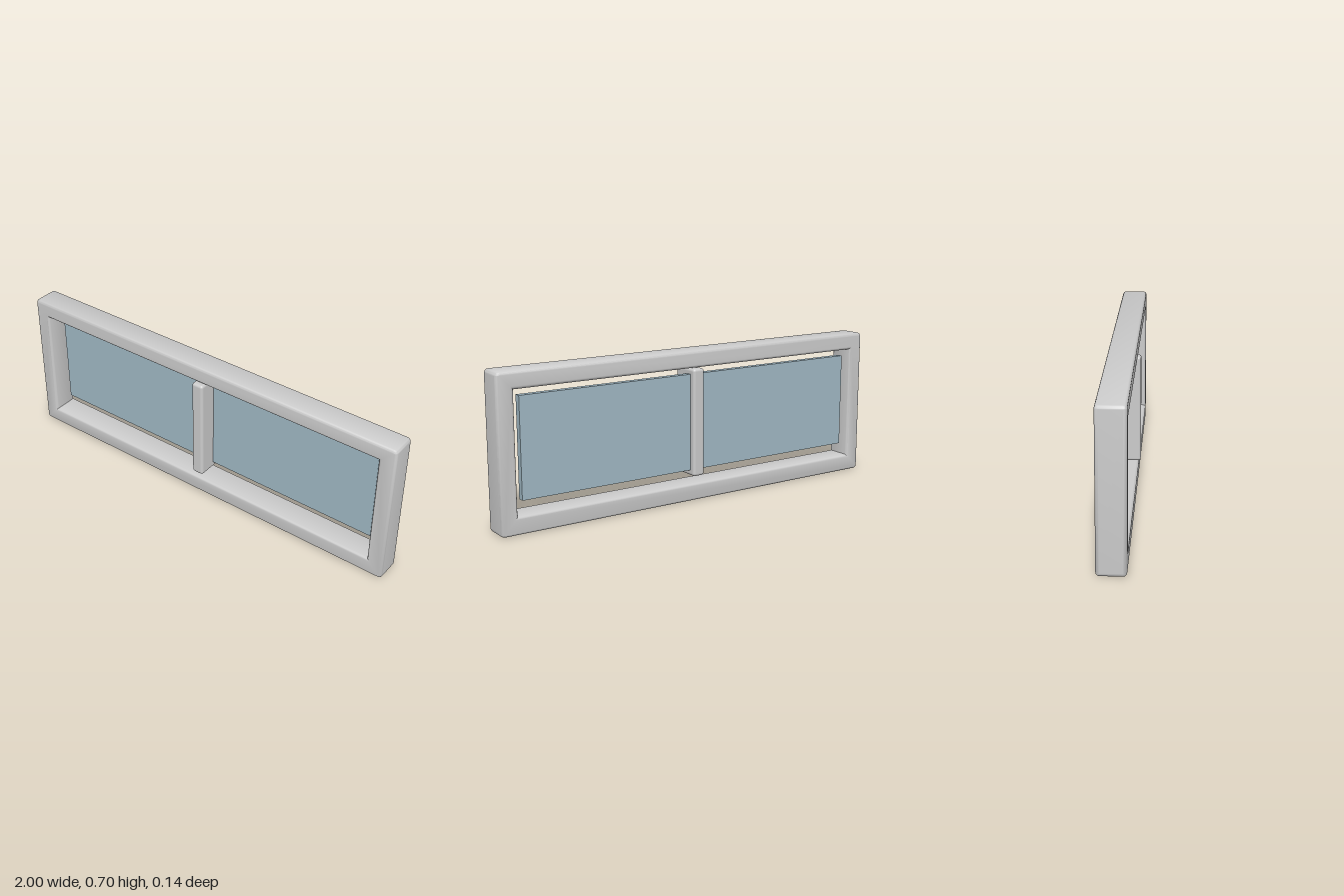
import * as THREE from 'three';
import { RoundedBoxGeometry } from 'three/addons/geometries/RoundedBoxGeometry.js';
import { toCreasedNormals } from 'three/addons/utils/BufferGeometryUtils.js';

const W = 2, H = 0.705;            // outer frame size
const BACK = -0.067, FRONT = 0.058; // frame depth range
const BEVEL = 0.016;

// Trace a rectangle with softened corners onto a shape or path
function roundedRect(path, x0, y0, x1, y1, r) {
  path.absarc(x1 - r, y0 + r, r, -Math.PI / 2, 0);
  path.absarc(x1 - r, y1 - r, r, 0, Math.PI / 2);
  path.absarc(x0 + r, y1 - r, r, Math.PI / 2, Math.PI);
  path.absarc(x0 + r, y0 + r, r, Math.PI, Math.PI * 1.5);
  path.closePath();
  return path;
}

// Sharp-cornered rectangle
function rect(path, x0, y0, x1, y1) {
  path.moveTo(x0, y0);
  path.lineTo(x1, y0);
  path.lineTo(x1, y1);
  path.lineTo(x0, y1);
  path.closePath();
  return path;
}

export function createModel() {
  const group = new THREE.Group();
  group.name = 'window';
  const grey = new THREE.MeshStandardMaterial({ color: 0xcccccc });
  const blue = new THREE.MeshStandardMaterial({ color: 0xa0b8c4 });

  const add = (name, geometry, material, x, y, z) => {
    const mesh = new THREE.Mesh(geometry, material);
    mesh.name = name;
    mesh.position.set(x, y, z);
    group.add(mesh);
  };

  // Outer frame: one bevelled ring, drawn inset so the bevel reaches full size
  const outline = roundedRect(new THREE.Shape(), -W / 2 + BEVEL, BEVEL, W / 2 - BEVEL, H - BEVEL, 0.003);
  outline.holes.push(rect(new THREE.Path(), -0.92 - BEVEL, 0.083 - BEVEL, 0.92 + BEVEL, 0.625 + BEVEL));
  const ring = new THREE.ExtrudeGeometry(outline, {
    depth: FRONT - BACK - 2 * BEVEL,
    bevelEnabled: true,
    bevelThickness: BEVEL,
    bevelSize: BEVEL,
    bevelSegments: 5,
    curveSegments: 4,
  });
  add('frame', toCreasedNormals(ring, 0.6), grey, 0, 0, BACK + BEVEL);

  // Glass pane, set towards the back with a gap all round
  add('glassPane', new THREE.BoxGeometry(1.78, 0.452, 0.03), blue, 0, 0.369, -0.03);

  // Centre bar, standing slightly proud of the frame on both faces
  add('centreBar', new RoundedBoxGeometry(0.06, 0.505, 0.141, 4, 0.013), grey, 0, 0.368, 0);

  return group;
}
